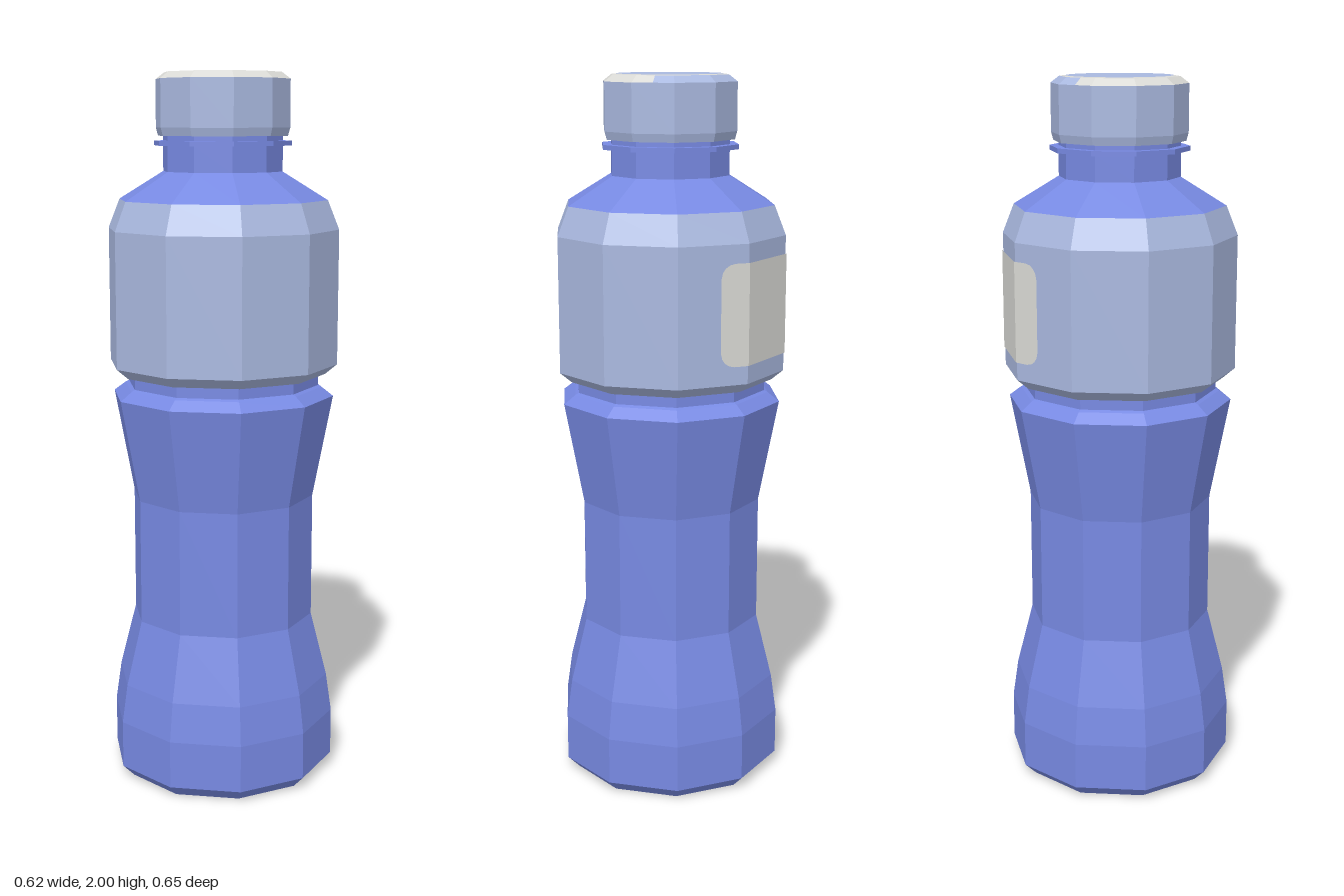
import * as THREE from 'three';

const SIDES = 10;

const material = (name, color) => {
  const m = new THREE.MeshStandardMaterial({ color });
  m.name = name;
  return m;
};

// Faceted ten-sided solid of revolution; profile of [radius, y] runs upwards outside
function turned(profile) {
  const pts = profile.map(([r, y]) => new THREE.Vector2(r, y));
  const g = new THREE.LatheGeometry(pts, SIDES).toNonIndexed();
  g.computeVertexNormals();
  return g;
}

// Point on the ten-sided outline; u counts corners from the front towards +x
function onOutline(u, r, y) {
  const corner = (i) => {
    const a = (i / SIDES) * Math.PI * 2;
    return new THREE.Vector3(Math.sin(a) * r, y, Math.cos(a) * r);
  };
  const i = Math.floor(u);
  return corner(i).lerp(corner(i + 1), u - i);
}

// Band of quads along the outline between a lower and an upper edge
function band(us, lower, upper) {
  const pos = [];
  for (let i = 0; i < us.length - 1; i++) {
    const [a, b] = [us[i], us[i + 1]];
    const p = onOutline(a, ...lower(a)), q = onOutline(b, ...lower(b));
    const s = onOutline(b, ...upper(b)), t = onOutline(a, ...upper(a));
    for (const v of [p, q, s, p, s, t]) pos.push(v.x, v.y, v.z);
  }
  const g = new THREE.BufferGeometry();
  g.setAttribute('position', new THREE.Float32BufferAttribute(pos, 3));
  g.computeVertexNormals();
  return g;
}

export function createModel() {
  const blue = material('bottle blue', 0x7789e2);
  const pale = material('pale blue grey', 0xa9b8df);
  const white = material('off white', 0xdadad6);

  const bottle = new THREE.Group();
  bottle.name = 'bottle';
  const add = (name, geometry, mat) => {
    const mesh = new THREE.Mesh(geometry, mat);
    mesh.name = name;
    bottle.add(mesh);
    return mesh;
  };

  // Waisted lower body with a recessed base and a groove under the label
  add('body', turned([
    [0, 0.03], [0.14, 0.025], [0.24, 0], [0.289, 0], [0.323, 0.035], [0.323, 0.17],
    [0.307, 0.28], [0.26, 0.465], [0.26, 0.82], [0.315, 1.11], [0.282, 1.135],
    [0.272, 1.14], [0.272, 1.18],
  ]), blue);

  // Label sleeve
  add('label', turned([
    [0.27, 1.172], [0.292, 1.172], [0.325, 1.2], [0.325, 1.575], [0.293, 1.655],
  ]), pale);

  // Shoulder, neck and neck ring
  add('shoulderAndNeck', turned([
    [0.293, 1.655], [0.167, 1.732], [0.167, 1.802], [0.192, 1.802], [0.192, 1.815],
    [0.167, 1.815], [0.167, 1.835],
  ]), blue);

  // Cap
  add('cap', turned([
    [0.15, 1.828], [0.181, 1.828], [0.187, 1.85], [0.187, 1.98],
  ]), pale);

  // Cap bevel: pale at the back, white elsewhere
  const bevelLow = () => [0.187, 1.98], bevelHigh = () => [0.163, 1.998];
  add('capBevelBack', band([3.5, 4, 5, 6, 6.5], bevelLow, bevelHigh), pale);
  add('capBevelFront', band([6.5, 7, 8, 9, 10, 11, 12, 13, 13.5], bevelLow, bevelHigh), white);

  // Cap top with a round inset
  add('capTop', turned([[0.163, 1.998], [0, 1.998]]), white);
  const disc = add('capDisc', new THREE.CircleGeometry(0.145, 48), pale);
  disc.rotation.x = -Math.PI / 2;
  disc.position.y = 2;

  // Rounded panel wrapped around the back of the label
  const u0 = 4.6, u1 = 6.4, radius = 0.04, sideLength = 0.2;
  const steps = [0, 0.1, 0.3, 0.6, 1].map((k) => (k * radius) / sideLength);
  const us = [...steps.map((d) => u0 + d), 5, 6, ...steps.map((d) => u1 - d).reverse()];
  const inset = (u) => {
    const d = Math.max(0, radius - Math.min(u - u0, u1 - u) * sideLength);
    return radius - Math.sqrt(Math.max(0, radius * radius - d * d));
  };
  add('backPanel', band(us,
    (u) => [0.328, 1.25 + inset(u)],
    (u) => [0.328, 1.525 - inset(u)]), white);

  return bottle;
}
